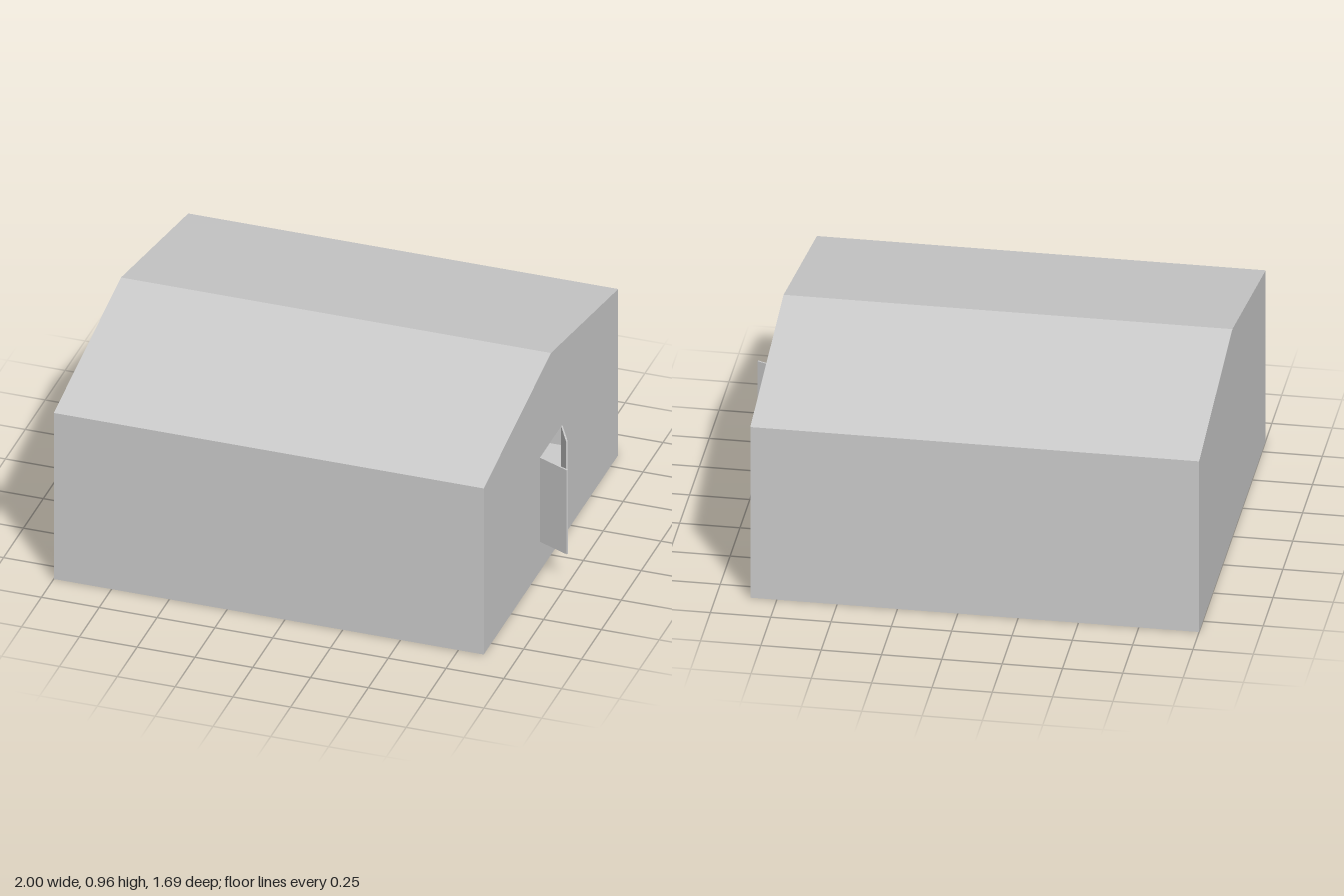
import * as THREE from 'three';

const X0 = -1, X1 = 0.86;               // end walls
const HALF = 0.845, EAVE = 0.79, RIDGE = 0.96;
const OPEN = { half: 0.135, bottom: 0.14, top: 0.54 };

export function createModel() {
  const model = new THREE.Group();
  const material = new THREE.MeshStandardMaterial({
    color: 0xcccccc, flatShading: true, side: THREE.DoubleSide,
  });
  const add = (name, geometry, parent = model) => {
    const mesh = new THREE.Mesh(geometry, material);
    mesh.name = name;
    parent.add(mesh);
    return mesh;
  };

  // House cross-section, counter-clockwise as seen from the +x end
  const profile = [[-HALF, 0], [HALF, 0], [HALF, EAVE], [0, RIDGE], [-HALF, EAVE]]
    .map(([u, y]) => new THREE.Vector2(u, y));

  // Thin floor, side walls and roof slopes, one panel per profile edge
  ['floor', 'backWall', 'backRoof', 'frontRoof', 'frontWall'].forEach((name, i) => {
    const a = profile[i], b = profile[(i + 1) % profile.length];
    const geometry = new THREE.BufferGeometry();
    geometry.setAttribute('position', new THREE.Float32BufferAttribute([
      X0, a.y, -a.x, X1, a.y, -a.x, X1, b.y, -b.x, X0, b.y, -b.x,
    ], 3));
    geometry.setIndex([0, 1, 2, 0, 2, 3]);
    // The floor edge runs toward -z, so panels wind a-to-b to face outward
    geometry.setIndex([0, 2, 1, 0, 3, 2]);
    geometry.computeVertexNormals();
    add(name, geometry);
  });

  // Gable end walls; the +x one has the window opening
  const plain = new THREE.Shape(profile);
  add('plainGable', new THREE.ShapeGeometry(plain).rotateY(-Math.PI / 2).translate(X0, 0, 0));

  const pierced = new THREE.Shape(profile);
  const { half, bottom, top } = OPEN;
  pierced.holes.push(new THREE.Path([
    new THREE.Vector2(-half, bottom), new THREE.Vector2(-half, top),
    new THREE.Vector2(half, top), new THREE.Vector2(half, bottom),
  ]));
  add('windowGable', new THREE.ShapeGeometry(pierced).rotateY(Math.PI / 2).translate(X1, 0, 0));

  // Two shutters hinged at the sides of the opening, swung out unequally
  const shutter = (name, hingeZ, tipX, tipZ) => {
    const dx = tipX - X1, dz = tipZ - hingeZ;
    const length = Math.hypot(dx, dz);
    const hinge = new THREE.Group();
    hinge.name = name;
    hinge.position.set(X1, (bottom + top) / 2, hingeZ);
    hinge.rotation.y = Math.atan2(-dz, dx);
    add(name + 'Panel', new THREE.BoxGeometry(length, top - bottom, 0.007).translate(length / 2, 0, 0), hinge);
    model.add(hinge);
  };
  shutter('frontShutter', half, 0.998, 0.196);
  shutter('backShutter', -half, 0.922, -0.02);

  return model;
}
